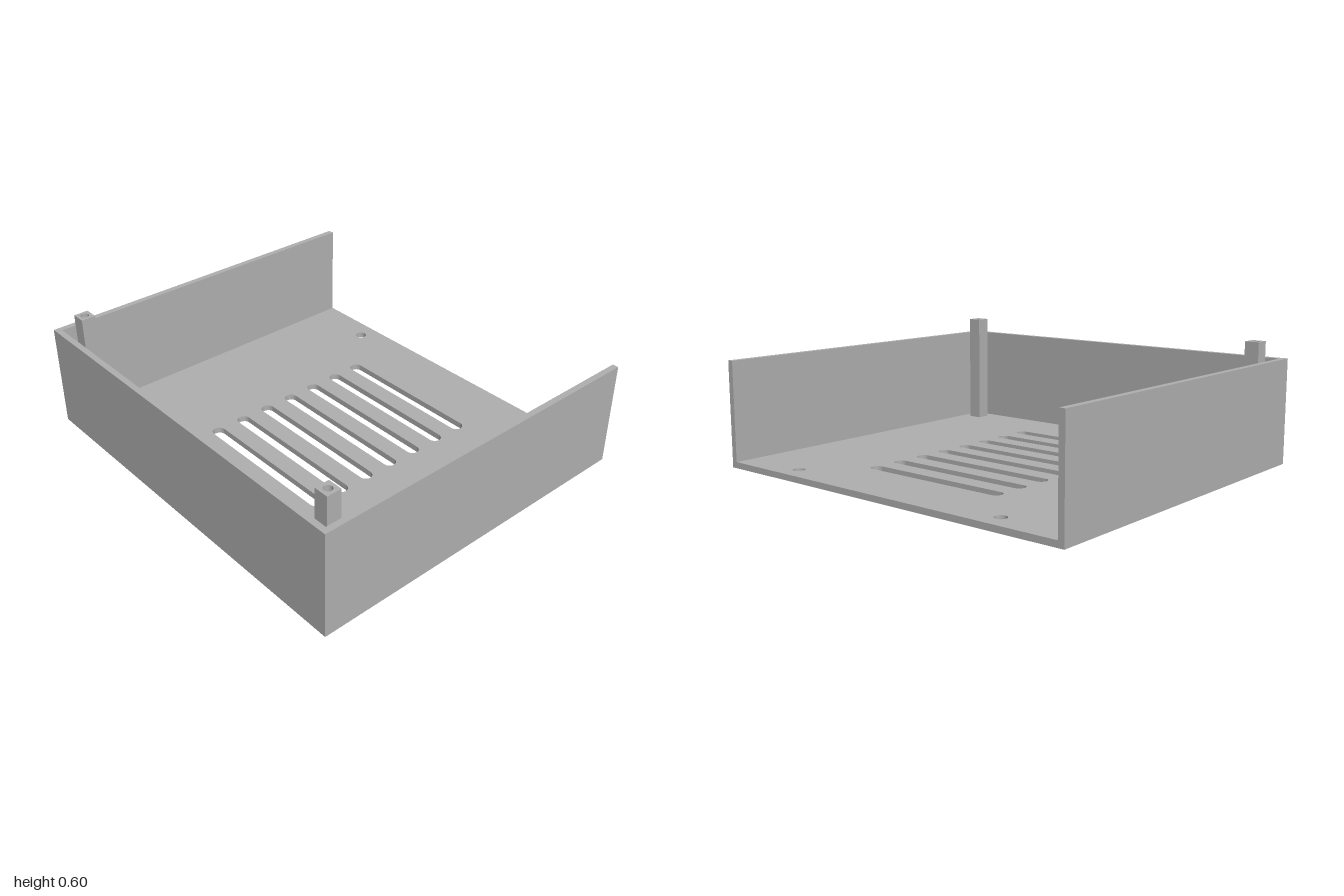
import * as THREE from 'three';

const HALF_X = 0.885, HALF_Z = 1, WALL = 0.03, FLOOR = 0.03;
const WALL_TOP = 0.52, POST_TOP = 0.605;

const rect = (x0, y0, x1, y1) => new THREE.Shape([
  new THREE.Vector2(x0, y0), new THREE.Vector2(x1, y0),
  new THREE.Vector2(x1, y1), new THREE.Vector2(x0, y1),
]);

const circle = (x, y, r) => new THREE.Path().absarc(x, y, r, 0, Math.PI * 2, true);

// Slot with rounded ends, running along z
function slot(x, halfLength, r) {
  const p = new THREE.Path();
  p.absarc(x, halfLength - r, r, 0, Math.PI, false);
  p.absarc(x, r - halfLength, r, Math.PI, Math.PI * 2, false);
  p.closePath();
  return p;
}

// Extrudes a plan outline upwards from y0 to y1
function upright(name, shape, y0, y1, material) {
  const geometry = new THREE.ExtrudeGeometry(shape, { depth: y1 - y0, bevelEnabled: false, curveSegments: 16 });
  geometry.rotateX(-Math.PI / 2).translate(0, y0, 0);
  const mesh = new THREE.Mesh(geometry, material);
  mesh.name = name;
  return mesh;
}

export function createModel() {
  const group = new THREE.Group();
  group.name = 'ventedTray';
  const grey = new THREE.MeshStandardMaterial({ color: 0xb0b0b0 });
  grey.name = 'grey';

  const postX = -0.77, postZ = 0.885, postHalf = 0.036, boreR = 0.02;

  // Floor with vent slots, screw holes and post bores
  const floor = rect(-HALF_X, -HALF_Z, HALF_X, HALF_Z);
  for (let i = 0; i < 8; i++) floor.holes.push(slot(-0.547 + i * 0.1537, 0.4, 0.032));
  for (const s of [-1, 1]) {
    floor.holes.push(circle(0.79, s * 0.617, 0.029));
    floor.holes.push(circle(postX, s * postZ, boreR));
  }
  group.add(upright('floor', floor, 0, FLOOR, grey));

  // Three walls in one U, open on the +x side
  const ix = -HALF_X + WALL, iz = HALF_Z - WALL;
  const walls = new THREE.Shape([
    [-HALF_X, -HALF_Z], [HALF_X, -HALF_Z], [HALF_X, -iz], [ix, -iz],
    [ix, iz], [HALF_X, iz], [HALF_X, HALF_Z], [-HALF_X, HALF_Z],
  ].map(([x, y]) => new THREE.Vector2(x, y)));
  group.add(upright('walls', walls, FLOOR, WALL_TOP, grey));

  // Bored square corner posts
  for (const s of [-1, 1]) {
    const post = rect(postX - postHalf, s * postZ - postHalf, postX + postHalf, s * postZ + postHalf);
    post.holes.push(circle(postX, s * postZ, boreR));
    group.add(upright(s > 0 ? 'backPost' : 'frontPost', post, FLOOR, POST_TOP, grey));
  }
  return group;
}
